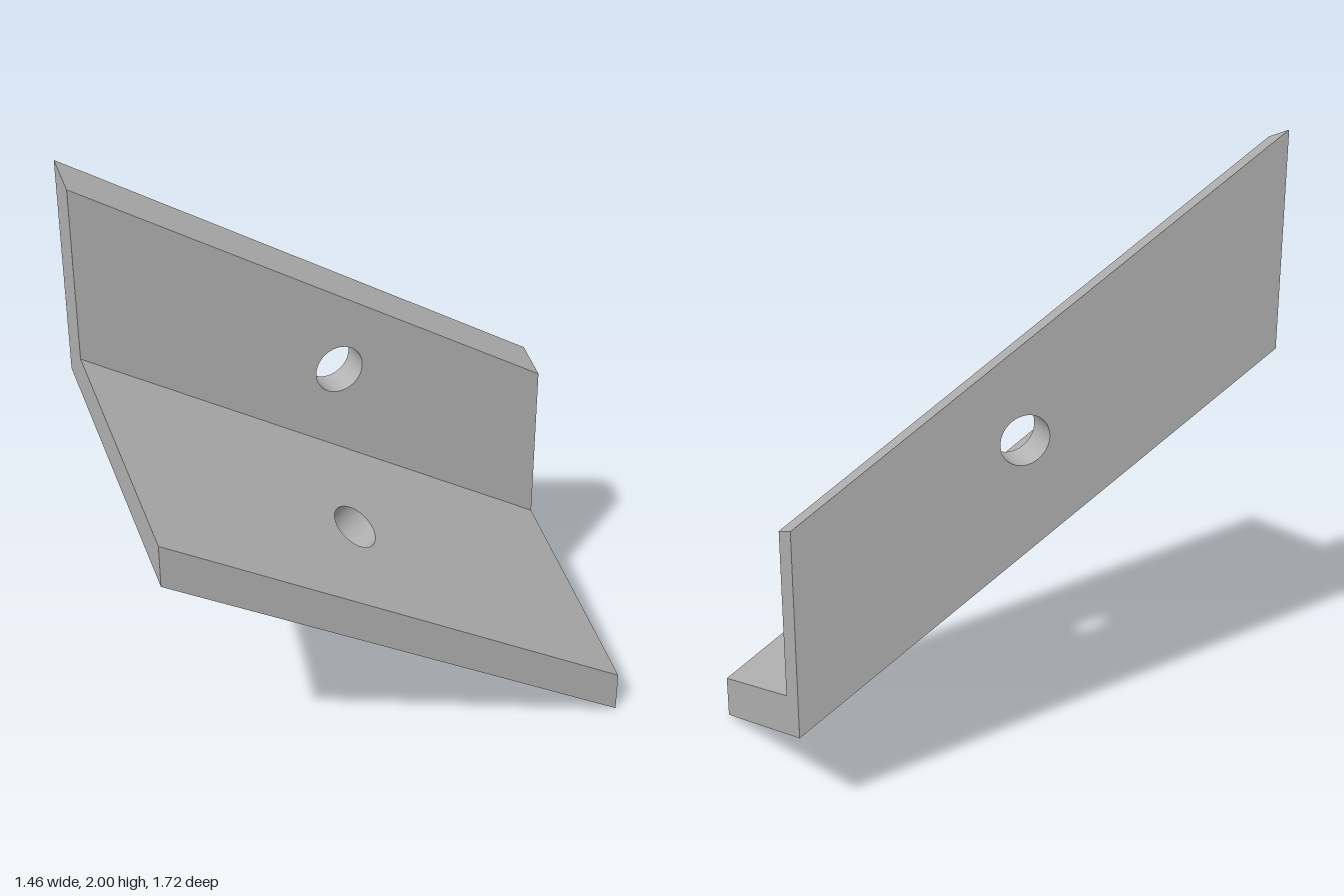
import * as THREE from 'three';
import { toCreasedNormals } from 'three/addons/utils/BufferGeometryUtils.js';

const V = (x, y, z) => new THREE.Vector3(x, y, z);

// Plate between two parallel quads (counter-clockwise from outside),
// with a round hole bored square to the front face.
function makePlate(name, front, back, holeCentre, radius, material) {
  const xAxis = front[1].clone().sub(front[0]).normalize();
  const zAxis = xAxis.clone().cross(front[3].clone().sub(front[0])).normalize();
  const yAxis = zAxis.clone().cross(xAxis);
  const frame = new THREE.Matrix4().makeBasis(xAxis, yAxis, zAxis).setPosition(front[0]);
  const inverse = frame.clone().invert();
  const toLocal = (p) => p.clone().applyMatrix4(inverse);

  const f = front.map(toLocal);
  const b = back.map(toLocal);
  const depth = -b.reduce((sum, p) => sum + p.z, 0) / 4;
  const c = toLocal(holeCentre);

  const shape = new THREE.Shape(f.map((p) => new THREE.Vector2(p.x, p.y)));
  const hole = new THREE.Path();
  hole.absarc(c.x, c.y, radius, 0, Math.PI * 2, true);
  shape.holes.push(hole);
  const geometry = new THREE.ExtrudeGeometry(shape, { depth, bevelEnabled: false, curveSegments: 20 });
  geometry.translate(0, 0, -depth);

  // Slant the plate's edges: move only the outline corners of the rear face
  const pos = geometry.attributes.position;
  for (let i = 0; i < pos.count; i++) {
    const corners = pos.getZ(i) < -depth / 2 ? b : f;
    const k = f.findIndex((p) => Math.hypot(p.x - pos.getX(i), p.y - pos.getY(i)) < 1e-4);
    if (k >= 0) pos.setXYZ(i, corners[k].x, corners[k].y, corners[k].z);
  }
  geometry.applyMatrix4(frame);
  const mesh = new THREE.Mesh(toCreasedNormals(geometry, 0.6), material);
  mesh.name = name;
  return mesh;
}

export function createModel() {
  const metal = new THREE.MeshStandardMaterial({ color: 0xb4b4b4 });
  metal.name = 'grey metal';

  // L-shaped end section and the sloping run along the bracket
  const run = V(0.84, -0.98, -1.33);
  const outerCorner = V(-0.73, 1.315, 0.47);
  const outerTop = V(-0.73, 2, 0.47);
  const innerTop = V(-0.64, 1.952, 0.527);
  const innerCorner = V(-0.64, 1.402, 0.527);
  const lipTop = V(-0.11, 1.12, 0.86);
  const lipBottom = V(-0.11, 0.98, 0.86);
  const far = (p) => p.clone().add(run);

  const group = new THREE.Group();
  group.name = 'angle bracket';
  group.add(
    makePlate('uprightFlange',
      [innerCorner, far(innerCorner), far(innerTop), innerTop],
      [outerCorner, far(outerCorner), far(outerTop), outerTop],
      V(-0.19, 1.165, -0.185), 0.08, metal),
    makePlate('lowerFlange',
      [innerCorner, lipTop, far(lipTop), far(innerCorner)],
      [outerCorner, lipBottom, far(lipBottom), far(outerCorner)],
      V(0.035, 0.79, 0.07), 0.08, metal),
  );
  return group;
}
